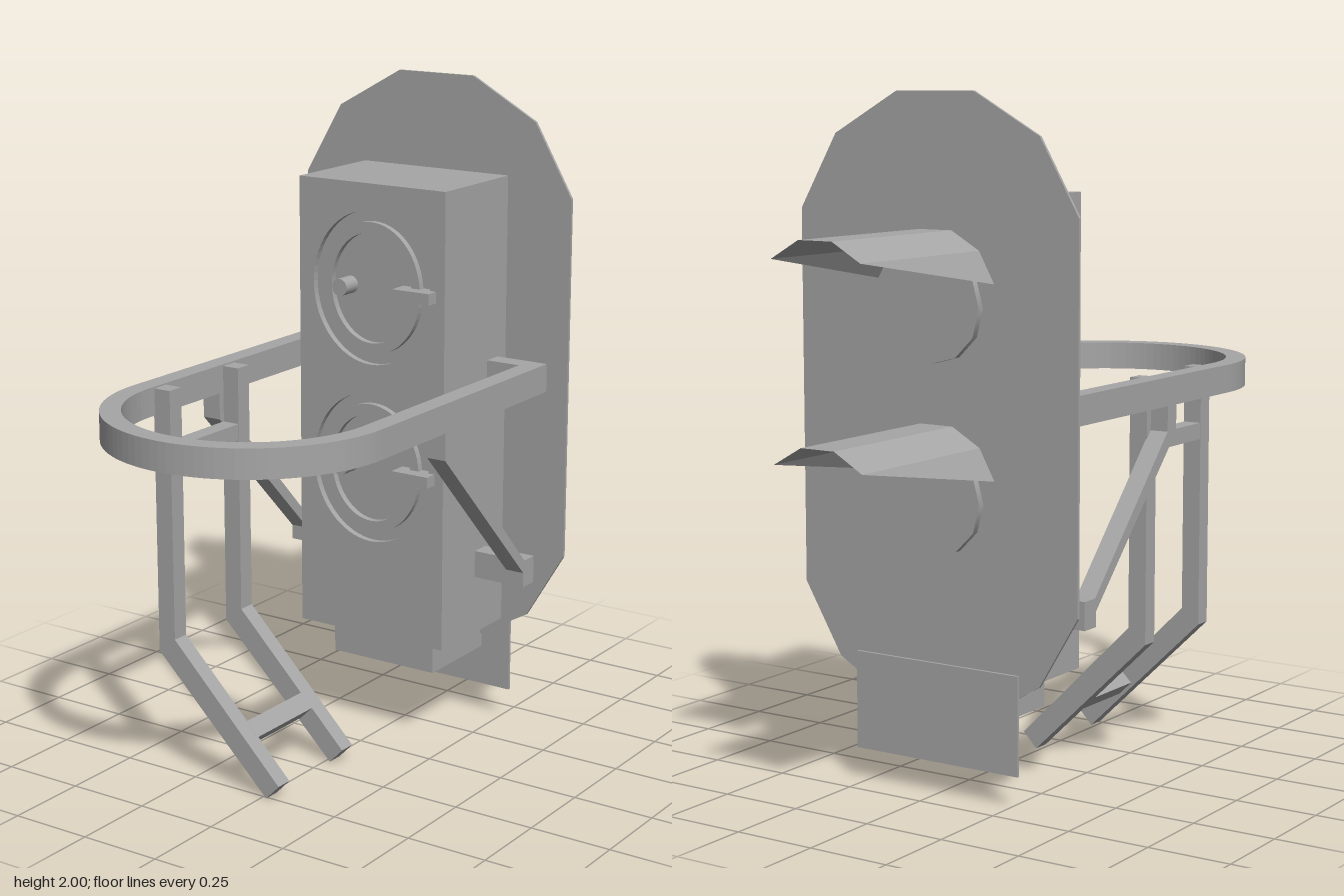
import * as THREE from 'three';

export function createModel() {
  const model = new THREE.Group();
  const grey = new THREE.MeshStandardMaterial({ color: 0xa6a6a6, side: THREE.DoubleSide });
  grey.name = 'signal grey';

  const add = (name, geometry, parent = model) => {
    const mesh = new THREE.Mesh(geometry, grey);
    mesh.name = name;
    parent.add(mesh);
    return mesh;
  };
  // Box given by its extents on each axis
  const box = (name, x0, x1, y0, y1, z0, z1, parent) =>
    add(name, new THREE.BoxGeometry(x1 - x0, y1 - y0, z1 - z0)
      .translate((x0 + x1) / 2, (y0 + y1) / 2, (z0 + z1) / 2), parent);
  const polygon = pts => new THREE.Shape(pts.map(p => new THREE.Vector2(...p)));
  const extrude = (shape, depth, curveSegments = 32) =>
    new THREE.ExtrudeGeometry(shape, { depth, bevelEnabled: false, curveSegments });
  const ellipse = (Type, y, rx, ry) => new Type().absellipse(0, y, rx, ry, 0, Math.PI * 2);

  const headHeights = [1.405, 0.857];

  // Backboard with cut corners
  const half = [[0.13, 0.235], [0.345, 0.36], [0.47, 0.57], [0.47, 1.665], [0.345, 1.88], [0.13, 2]];
  const outline = [...half, ...half.map(([x, y]) => [-x, y]).reverse()];
  add('backboard', extrude(polygon(outline), 0.009).translate(0, 0, -0.41));
  box('numberPlate', -0.28, 0.28, 0.095, 0.385, -0.42, -0.411);

  // Housing, with a front panel pierced by two oval door recesses
  box('housing', -0.255, 0.255, 0.33, 1.715, -0.401, -0.075);
  box('cableBox', -0.18, 0.18, 0.22, 0.33, -0.41, -0.125);
  const panel = polygon([[-0.255, 0.33], [0.255, 0.33], [0.255, 1.715], [-0.255, 1.715]]);
  headHeights.forEach(y => panel.holes.push(ellipse(THREE.Path, y, 0.205, 0.23)));
  add('frontPanel', extrude(panel, 0.02).translate(0, 0, -0.075));

  for (const y of headHeights) {
    const head = new THREE.Group();
    head.name = 'signalHead';
    model.add(head);

    // Door rim, knob and latch on the front
    const rim = ellipse(THREE.Shape, y, 0.17, 0.197);
    rim.holes.push(ellipse(THREE.Path, y, 0.14, 0.165));
    add('doorRim', extrude(rim, 0.02).translate(0, 0, -0.075), head);
    add('doorKnob', new THREE.CylinderGeometry(0.026, 0.026, 0.06, 16)
      .rotateX(Math.PI / 2).translate(-0.085, y, -0.045), head);
    box('doorLatch', 0.1, 0.225, y - 0.017, y + 0.017, -0.075, -0.015, head);

    // Round lens on the back
    add('lens', new THREE.CylinderGeometry(0.16, 0.16, 0.022, 12)
      .rotateX(Math.PI / 2).translate(0, y, -0.42), head);

    // Visor: faceted hood whose lower edge slopes up to the tip
    const arc = [[-0.197, 0.07], [-0.147, 0.16], [-0.055, 0.213], [0.055, 0.213], [0.147, 0.16], [0.197, 0.07]];
    const verts = [];
    const at = (i, z) => [arc[i][0], y + arc[i][1], z];
    for (let i = 0; i < 5; i++) {
      const a = at(i, -0.41), b = at(i + 1, -0.41);
      if (i === 0) verts.push(...a, ...at(1, -0.95), ...b);
      else if (i === 4) verts.push(...a, ...at(4, -0.95), ...b);
      else {
        const c = at(i, -0.95), d = at(i + 1, -0.95);
        verts.push(...a, ...c, ...b, ...b, ...c, ...d);
      }
    }
    // Turn every face outwards
    for (let k = 0; k < verts.length; k += 9) {
      const [p, q, r] = [0, 3, 6].map(o => new THREE.Vector3().fromArray(verts, k + o));
      const n = q.clone().sub(p).cross(r.clone().sub(p));
      const out = new THREE.Vector3(p.x + q.x + r.x, p.y + q.y + r.y - 3 * y, 0);
      if (n.dot(out) < 0) verts.splice(k + 3, 6, ...r.toArray(), ...q.toArray());
    }
    const hood = new THREE.BufferGeometry();
    hood.setAttribute('position', new THREE.Float32BufferAttribute(verts, 3));
    hood.computeVertexNormals();
    add('visor', hood, head);
  }

  // Safety hoop, drawn in plan and raised to height
  const hoop = new THREE.Shape();
  hoop.moveTo(0.255, -0.355);
  hoop.lineTo(0.425, -0.355);
  hoop.lineTo(0.425, 0.525);
  hoop.absarc(0, 0.525, 0.425, 0, Math.PI, false);
  hoop.lineTo(-0.425, -0.355);
  hoop.lineTo(-0.255, -0.355);
  hoop.lineTo(-0.255, -0.295);
  hoop.lineTo(-0.365, -0.295);
  hoop.lineTo(-0.365, 0.525);
  hoop.absarc(0, 0.525, 0.365, Math.PI, 0, true);
  hoop.lineTo(0.365, -0.295);
  hoop.lineTo(0.255, -0.295);
  add('safetyHoop', extrude(hoop, 0.085, 24).rotateX(Math.PI / 2).translate(0, 1.175, 0));

  // Diagonal braces under the hoop; profile is (-z, y)
  const brace = polygon([[-0.205, 1.09], [-0.205, 1.01], [0.24, 0.555], [0.24, 0.51], [0.3, 0.51],
    [0.3, 0.593], [0.245, 0.593], [-0.155, 1.015], [-0.155, 1.09]]);
  for (const side of [-1, 1]) {
    add('brace', extrude(brace, 0.06).rotateY(Math.PI / 2).translate(side * 0.395 - 0.03, 0, 0));
    const x = [side * 0.25, side * 0.366].sort((a, b) => a - b);
    box('braceFoot', x[0], x[1], 0.51, 0.593, -0.3, -0.24);
  }

  // Bent ladder hanging inside the hoop
  const rail = polygon([[-0.368, 1.17], [-0.368, 0.375], [0.015, 0], [0.06, 0.047], [-0.31, 0.42], [-0.31, 1.17]]);
  for (const z of [0.133, 0.455]) add('ladderRail', extrude(rail, 0.053).translate(0, 0, z));
  box('upperRung', -0.366, -0.312, 0.95, 1.0, 0.18, 0.46);
  const rung = add('lowerRung', new THREE.BoxGeometry(0.057, 0.057, 0.28));
  rung.position.set(-0.09, 0.158, 0.32);
  rung.rotation.z = -Math.PI / 4;

  return model;
}
